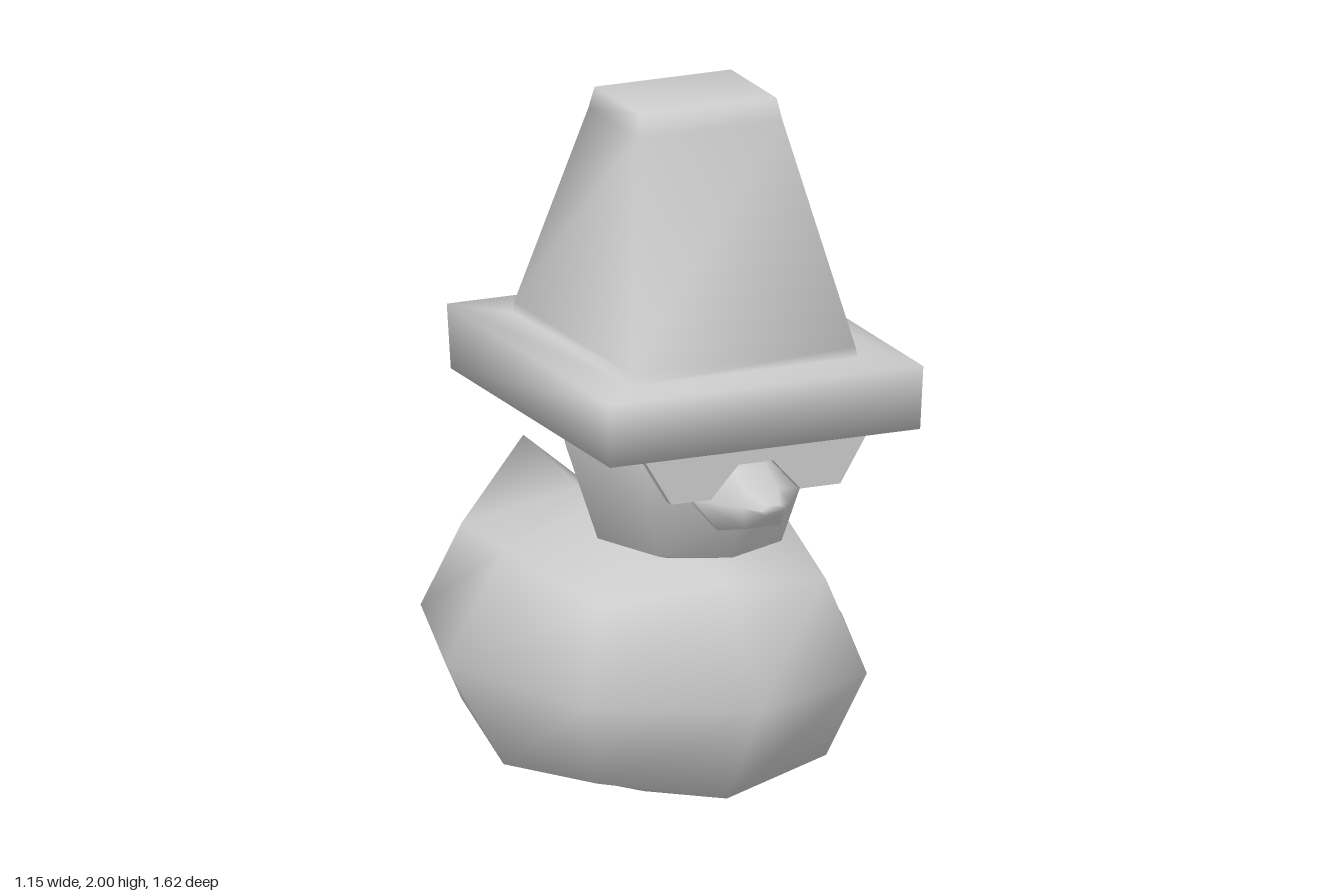
import * as THREE from 'three';
import { mergeVertices } from 'three/addons/utils/BufferGeometryUtils.js';

const gray = new THREE.MeshStandardMaterial({ color: 0xcccccc });
gray.name = 'plain gray';

function part(name, geometry) {
  const mesh = new THREE.Mesh(geometry, gray);
  mesh.name = name;
  return mesh;
}

// Smooth skin over equal-length rings, each counter-clockwise seen from the far end, with both ends closed.
function loft(rings) {
  const n = rings[0].length, index = [];
  for (let r = 0; r < rings.length - 1; r++) {
    for (let j = 0; j < n; j++) {
      const k = (j + 1) % n, a = r * n, b = a + n;
      index.push(a + j, a + k, b + k, a + j, b + k, b + j);
    }
  }
  const top = (rings.length - 1) * n;
  for (let j = 1; j < n - 1; j++) {
    index.push(0, j + 1, j);
    index.push(top, top + j, top + j + 1);
  }
  const geo = new THREE.BufferGeometry();
  geo.setAttribute('position', new THREE.Float32BufferAttribute(rings.flat(2), 3));
  geo.setIndex(index);
  geo.computeVertexNormals();
  return geo;
}

// Rounded cube stretched to an ellipsoid, with the back pulled up into a tail
function bodyGeometry() {
  let geo = new THREE.BoxGeometry(2, 2, 2, 2, 2, 2);
  geo.deleteAttribute('normal');
  geo.deleteAttribute('uv');
  geo = mergeVertices(geo);
  const p = geo.attributes.position, v = new THREE.Vector3();
  for (let i = 0; i < p.count; i++) {
    v.fromBufferAttribute(p, i).normalize();
    const onCentre = Math.abs(v.x) < 0.01;
    let x = v.x * 0.575, y = 0.42 + v.y * 0.42, z = -0.03 + v.z * 0.76;
    if (onCentre && v.z < -0.9) { y = 0.775; z = -0.81; }           // tail tip
    else if (onCentre && v.z < -0.5 && v.y < 0) { y = 0.17; z = -0.68; } // under the tail
    else if (onCentre && v.z < -0.5) { y = 0.73; z = -0.44; }       // dip before the tail
    else if (v.y > 0.9) { y = 0.835; z = -0.06; }                   // top of the back
    p.setXYZ(i, x, y, z);
  }
  geo.computeVertexNormals();
  return geo;
}

// Eight-sided head rings: height, half width, half depth
function headGeometry() {
  const rows = [[0.755, 0.14, 0.15], [0.8, 0.255, 0.31], [1.06, 0.345, 0.4], [1.16, 0.32, 0.37], [1.28, 0.25, 0.29]];
  return loft(rows.map(([y, rx, rz]) =>
    Array.from({ length: 8 }, (_, i) => {
      const a = (i * Math.PI) / 4;
      return [Math.cos(a) * rx, y, 0.24 - Math.sin(a) * rz];
    })));
}

// Rectangular hat rings: height, half width, back z, front z
function hatGeometry() {
  const rows = [
    [1.155, 0.45, -0.275, 0.755], [1.33, 0.455, -0.29, 0.765],
    [1.33, 0.33, -0.145, 0.62], [1.36, 0.325, -0.143, 0.615],
    [1.94, 0.21, 0.08, 0.4], [2.0, 0.198, 0.093, 0.388],
  ];
  return loft(rows.map(([y, x, back, front]) =>
    [[x, y, front], [x, y, back], [-x, y, back], [-x, y, front]]));
}

// Six-sided beak rings running forward; each pairs a side, top and bottom point
function beakGeometry() {
  const rows = [
    [[0.16, 1.0, 0.6], [0.055, 1.1, 0.6], [0.08, 0.905, 0.6]],
    [[0.155, 1.0, 0.64], [0.048, 1.07, 0.655], [0.08, 0.905, 0.63]],
    [[0.07, 1.0, 0.76], [0.045, 1.035, 0.74], [0.05, 0.935, 0.74]],
    [[0.035, 1.0, 0.81], [0.02, 1.01, 0.805], [0.02, 0.985, 0.805]],
  ];
  const flip = ([x, y, z]) => [-x, y, z];
  return loft(rows.map(([side, top, low]) => [side, top, flip(top), flip(side), flip(low), low]));
}

// Angular sunglasses plate with a raised bridge
function glassesGeometry() {
  const half = [[0.05, 1.1], [0.13, 1.013], [0.245, 1.013], [0.32, 1.137]];
  const outline = [...half, ...half.map(([x, y]) => [-x, y]).reverse()];
  const geo = new THREE.ExtrudeGeometry(
    new THREE.Shape(outline.map(([x, y]) => new THREE.Vector2(x, y))),
    { depth: 0.032, bevelEnabled: false });
  return geo.translate(0, 0, 0.663);
}

export function createModel() {
  const group = new THREE.Group();
  group.name = 'duckWithHat';
  group.add(
    part('body', bodyGeometry()),
    part('head', headGeometry()),
    part('hat', hatGeometry()),
    part('beak', beakGeometry()),
    part('sunglasses', glassesGeometry()),
  );
  return group;
}
